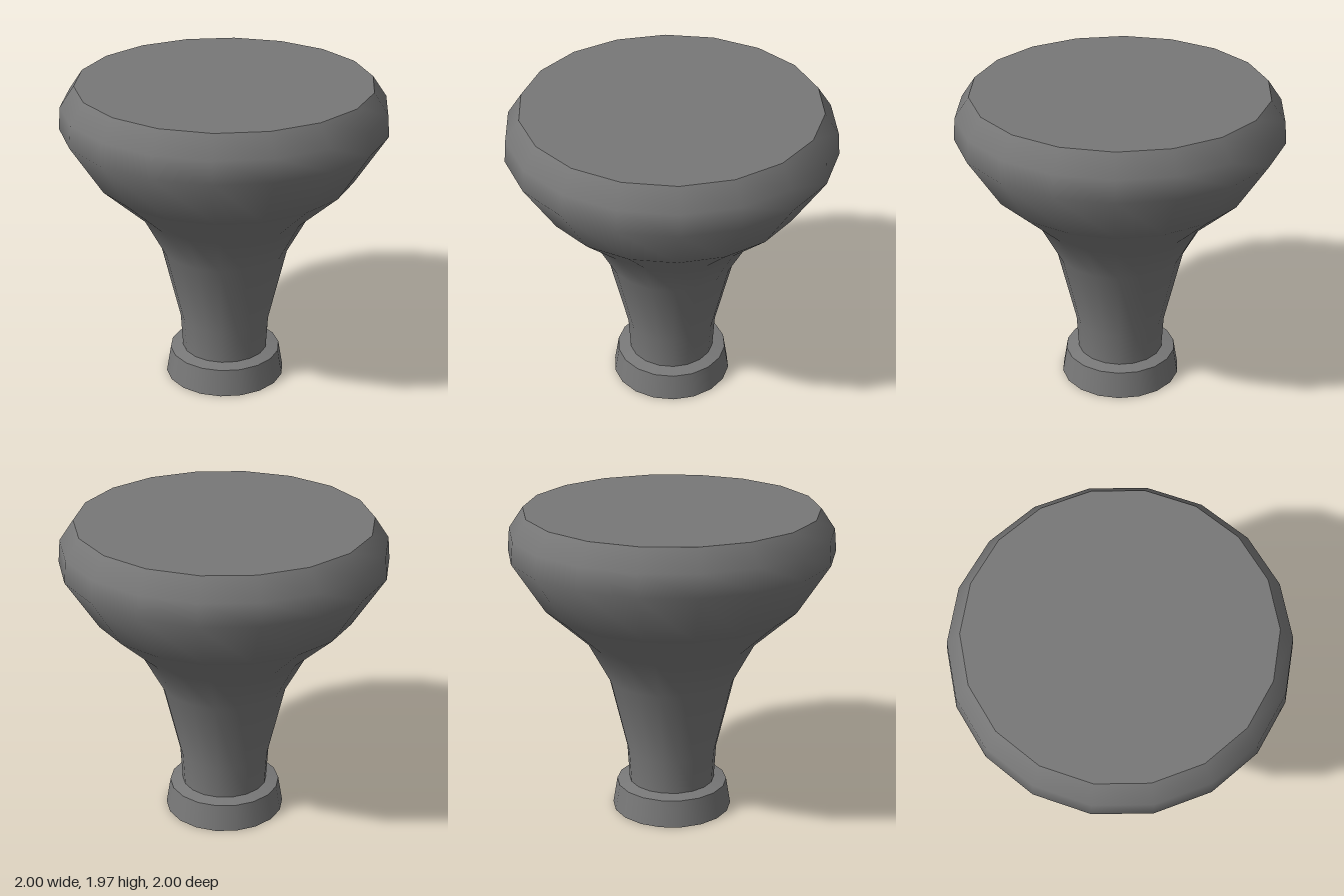
import * as THREE from 'three';

const SIDES = 18;
const START = THREE.MathUtils.degToRad(15);

// Smooth normals that weigh the faces above and below each ring equally
function smoothRings(geometry, points) {
  const faces = points.slice(1).map((p, j) =>
    new THREE.Vector2(p.y - points[j].y, points[j].x - p.x).normalize());
  const rings = points.map((_, j) => {
    const below = faces[Math.max(j - 1, 0)];
    const above = faces[Math.min(j, faces.length - 1)];
    return below.clone().add(above).normalize();
  });
  const normal = geometry.attributes.normal;
  for (let k = 0; k < normal.count; k++) {
    const n = rings[k % points.length];
    const angle = START + Math.floor(k / points.length) * 2 * Math.PI / SIDES;
    normal.setXYZ(k, n.x * Math.sin(angle), n.y, n.x * Math.cos(angle));
  }
}

export function createModel() {
  const group = new THREE.Group();
  group.name = 'knob';
  const material = new THREE.MeshStandardMaterial({ color: 0x787878 });

  // Each surface is its own lathe, so the edges between them stay sharp
  const turned = (name, profile) => {
    const points = profile.map(([r, y]) => new THREE.Vector2(r, y));
    const geometry = new THREE.LatheGeometry(points, SIDES, START);
    smoothRings(geometry, points);
    const mesh = new THREE.Mesh(geometry, material);
    mesh.name = name;
    group.add(mesh);
  };

  // Flared collar at the foot
  turned('footUnderside', [[0, 0], [0.38, 0]]);
  turned('footCollar', [[0.38, 0], [0.352, 0.17]]);
  turned('collarTop', [[0.352, 0.17], [0.272, 0.185]]);

  // Stem swelling smoothly into the head
  turned('stemAndHead', [
    [0.272, 0.185], [0.285, 0.4], [0.4, 0.885], [0.54, 1.145],
    [0.803, 1.385], [1.004, 1.7], [0.992, 1.837], [0.905, 1.965],
  ]);

  // Flat top face
  turned('topFace', [[0.905, 1.965], [0, 1.965]]);

  return group;
}
